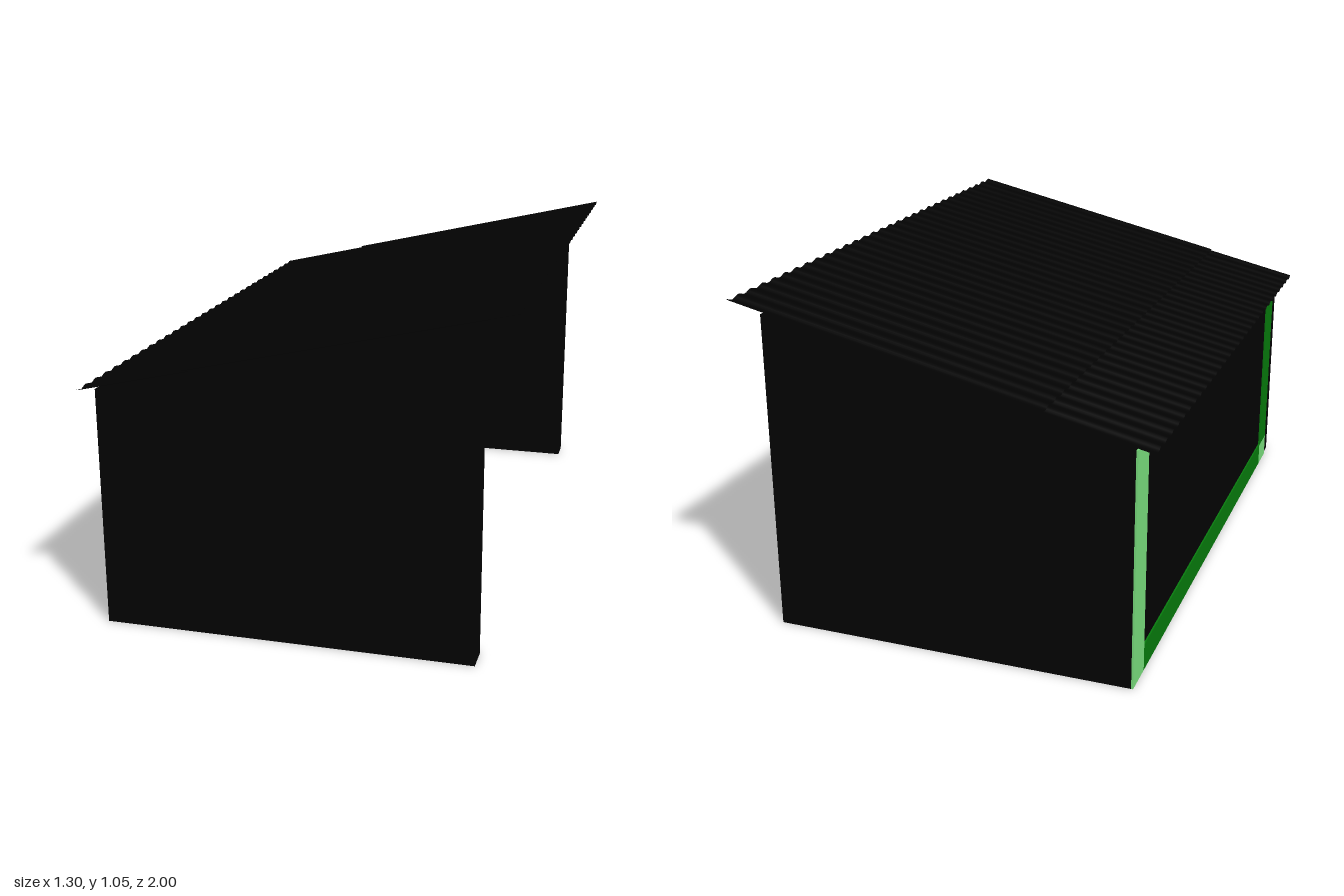
import * as THREE from 'three';

const mat = (name, color, double) => {
  const m = new THREE.MeshStandardMaterial({ color });
  m.name = name;
  if (double) m.side = THREE.DoubleSide;
  return m;
};

export function createModel() {
  const model = new THREE.Group();
  const black = mat('nearBlack', 0x020202, true);
  const steel = mat('lightSteel', 0xeeeeee);
  const darkGreen = mat('darkGreen', 0x067a0c);
  const paleGreen = mat('paleGreen', 0x78dc7c);

  const roofY = (x) => 0.894 + 0.2315 * x;

  const add = (parent, name, geometry, material) => {
    const mesh = new THREE.Mesh(geometry, material);
    mesh.name = name;
    parent.add(mesh);
    return mesh;
  };
  const box = (parent, name, material, w, h, d, x, y, z) => {
    const mesh = add(parent, name, new THREE.BoxGeometry(w, h, d), material);
    mesh.position.set(x, y, z);
  };
  // Square bar between two points
  const bar = (parent, name, a, b, w, t) => {
    const mesh = add(parent, name, new THREE.BoxGeometry(w, t, a.distanceTo(b)), steel);
    mesh.position.copy(a).add(b).multiplyScalar(0.5);
    mesh.lookAt(b);
  };

  // Walls: two sloped gables and a low back wall
  const prism = (name, x0, x1, z0, z1) => {
    const s = new THREE.Shape();
    s.moveTo(x0, 0);
    s.lineTo(x1, 0);
    s.lineTo(x1, roofY(x1) - 0.011);
    s.lineTo(x0, roofY(x0) - 0.011);
    s.closePath();
    const g = new THREE.ExtrudeGeometry(s, { depth: z1 - z0, bevelEnabled: false });
    add(model, name, g.translate(0, 0, z0), black);
  };
  prism('frontGableWall', -0.595, 0.548, 0.905, 0.985);
  prism('rearGableWall', -0.595, 0.548, -0.985, -0.905);
  prism('backWall', -0.595, -0.515, -0.905, 0.905);

  // Thin painted trim on the back wall
  const trim = (name, material, y0, y1, z0, z1) =>
    box(model, name, material, 0.006, y1 - y0, z1 - z0, -0.597, (y0 + y1) / 2, (z0 + z1) / 2);
  trim('cornerTrim', paleGreen, 0, 0.742, -0.985, -0.875);
  trim('baseTrim', darkGreen, 0, 0.085, -0.875, 0.80);
  trim('endTrim', darkGreen, 0.08, 0.742, 0.80, 0.915);
  trim('endTrimFoot', paleGreen, 0, 0.08, 0.80, 0.915);

  // Corrugated roof in two overlapping sheets
  const sheet = (name, x0, x1, lift) => {
    const g = new THREE.PlaneGeometry(x1 - x0, 2, 1, 240);
    g.rotateX(-Math.PI / 2).translate((x0 + x1) / 2, 0, 0);
    const p = g.attributes.position;
    for (let i = 0; i < p.count; i++) {
      const wave = 0.004 * Math.cos(p.getZ(i) * Math.PI * 30);
      p.setY(i, roofY(p.getX(i)) + lift + wave);
    }
    g.computeVertexNormals();
    add(model, name, g, black);
  };
  sheet('lowerRoofSheet', -0.65, -0.3, -0.005);
  sheet('upperRoofSheet', -0.325, 0.65, 0);

  // Triangular lattice beams carried on flanged posts
  const webZ = [0.115, 0.255, 0.37, 0.51, 0.667, 0.807];
  const V = (x, y, z) => new THREE.Vector3(x, y, z);
  const frame = (name, cx, depth) => {
    const group = new THREE.Group();
    group.name = name;
    model.add(group);
    const bottomY = roofY(cx) - 0.012 - depth;
    for (const side of [-1, 1]) {
      const tx = cx + side * 0.05;
      const ty = roofY(tx) - 0.019;
      bar(group, 'topChord', V(tx, ty, -0.905), V(tx, ty, 0.905), 0.016, 0.013);
      for (const z of webZ)
        for (const s of [-1, 1])
          bar(group, 'webStrut', V(cx, bottomY, s * z), V(tx, ty, s * z), 0.026, 0.012);
    }
    bar(group, 'bottomChord', V(cx, bottomY, -0.905), V(cx, bottomY, 0.905), 0.018, 0.014);

    for (const z of [0.615, -0.557]) {
      const post = new THREE.Group();
      post.name = 'post';
      post.position.set(cx, 0, z);
      group.add(post);
      const h = bottomY - 0.007;
      for (const s of [-1, 1])
        box(post, 'flange', black, 0.008, h, 0.036, s * 0.012, h / 2, 0);
      box(post, 'web', darkGreen, 0.018, h, 0.008, 0, h / 2, 0);
      box(post, 'capPlate', black, 0.04, 0.06, 0.042, 0, h - 0.03, 0);
      const foot = new THREE.CylinderGeometry(0.026, 0.036, 0.08, 4).rotateY(Math.PI / 4);
      foot.translate(0, 0.04, 0);
      add(post, 'foot', foot, black);
    }
  };
  frame('highFrame', 0.225, 0.088);
  frame('lowFrame', -0.375, 0.083);

  return model;
}
